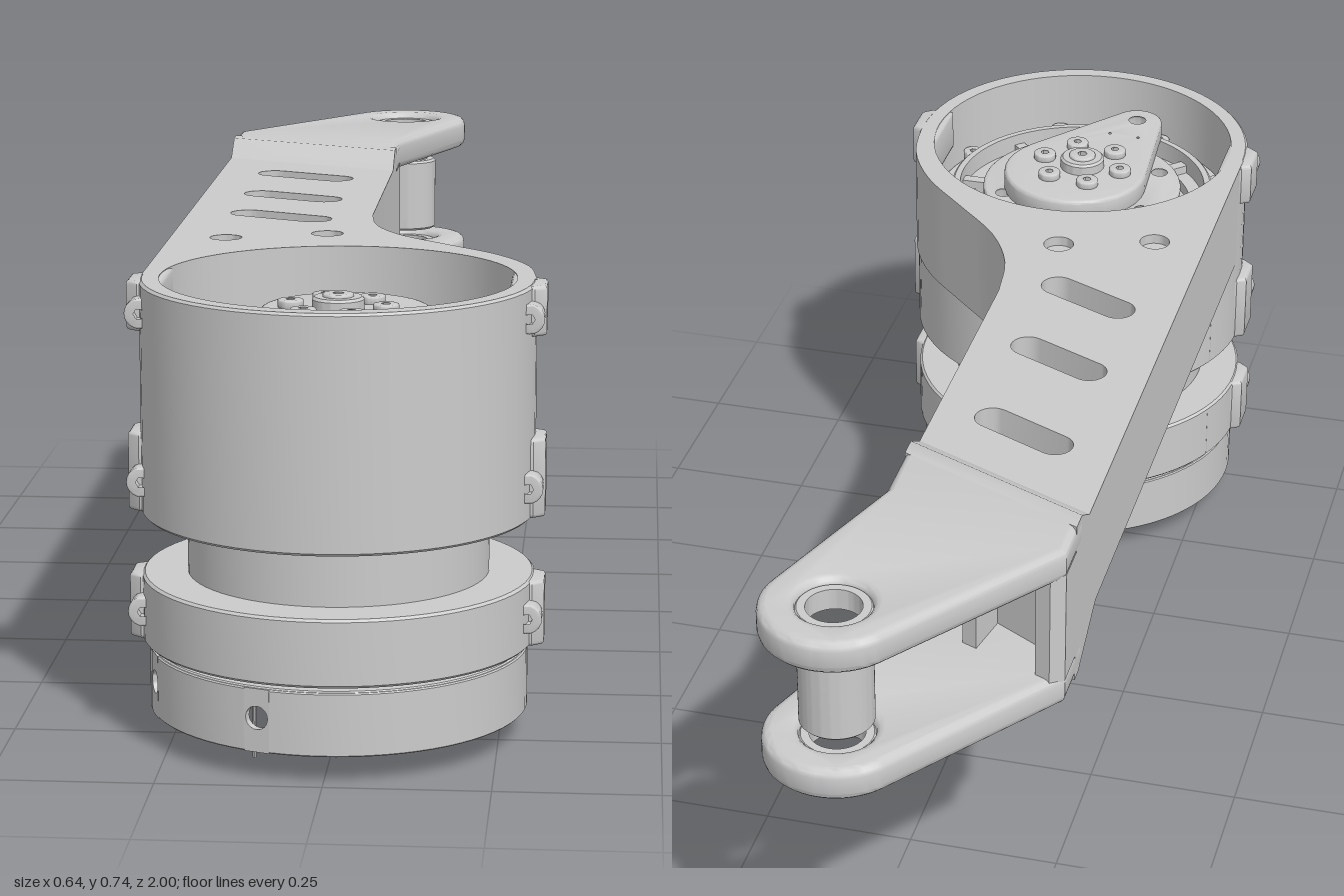
import * as THREE from 'three';
import { toCreasedNormals } from 'three/addons/utils/BufferGeometryUtils.js';

const MZ = 0.695;            // z of the motor axis
const SLANT = 0.45;          // slant of the arm features across its width
const D = Math.PI / 180;
const mat = new THREE.MeshStandardMaterial({ color: 0xcccccc, side: THREE.DoubleSide });

function add(parent, name, geo, x = 0, y = 0, z = 0) {
  const m = new THREE.Mesh(toCreasedNormals(geo, 35 * D), mat);
  m.name = name;
  m.position.set(x, y, z);
  parent.add(m);
  return m;
}

// Points of an arc in plan; a = 0 points to +x, 90 degrees to +z
function arc(cx, cz, r, a0 = 0, a1 = 360, n = 24) {
  return Array.from({ length: n + 1 }, (_, i) => {
    const a = (a0 + (a1 - a0) * i / n) * D;
    return [cx + r * Math.cos(a), cz + r * Math.sin(a)];
  });
}
const circle = (x, z, r, n = 24) => arc(x, z, r, 0, 360, n).slice(0, -1);

// Outline around two circles
function hull(ax, az, ra, bx, bz, rb) {
  const ang = Math.atan2(bz - az, bx - ax) / D;
  const off = Math.acos((ra - rb) / Math.hypot(bx - ax, bz - az)) / D;
  return [...arc(ax, az, ra, ang + off, ang + 360 - off, 20), ...arc(bx, bz, rb, ang - off, ang + off, 14)];
}

// Plan outline (x, z) raised from y0 to y1
function plan(pts, y0, y1, holes = [], bevel = 0) {
  const v = (p) => p.map(([x, z]) => new THREE.Vector2(x, -z));
  const s = new THREE.Shape(v(pts));
  s.holes = holes.map((h) => new THREE.Path(v(h)));
  const g = new THREE.ExtrudeGeometry(s, {
    depth: y1 - y0 - 2 * bevel, bevelEnabled: bevel > 0,
    bevelSize: bevel, bevelThickness: bevel, bevelOffset: -bevel, bevelSegments: 3, curveSegments: 8,
  });
  return g.rotateX(-Math.PI / 2).translate(0, y0 + bevel, 0);
}

// Turned ring with small chamfers; ri = 0 gives a disc
function ring(ri, ro, y0, y1, c = 0.004, start = 0, len = 360) {
  const p = [[ri, y0], [ro - c, y0], [ro, y0 + c], [ro, y1 - c], [ro - c, y1], [ri, y1]];
  if (ri > 0) p.push([ri, y0]);
  return new THREE.LatheGeometry(p.map(([x, y]) => new THREE.Vector2(x, y)), Math.ceil(len / 5), start * D, len * D);
}

// Socket head screw standing on y = 0
function screw(parent, r, h, x, y, z) {
  const g = new THREE.Group();
  g.name = 'screw';
  add(g, 'screwHead', plan(circle(0, 0, r, 20), 0, h, [circle(0, 0, r * 0.5, 6)], r * 0.12));
  add(g, 'screwSocketFloor', new THREE.CylinderGeometry(r * 0.7, r * 0.7, h * 0.3, 12), 0, h * 0.2, 0);
  g.position.set(x, y, z);
  parent.add(g);
  return g;
}

function polar(n, r, fn, a0 = 0) {
  for (let i = 0; i < n; i++) {
    const a = (a0 + 360 * i / n) * D;
    fn(r * Math.cos(a), r * Math.sin(a), a);
  }
}

function buildArm() {
  const arm = new THREE.Group();
  arm.name = 'arm';
  const lineA = (x) => -0.385 + SLANT * x;
  const lineB = (x) => -0.435 + SLANT * x;
  const L = -0.3, R = 0.01;

  // Beam with slots, flaring into the sleeve
  const flare = new THREE.CatmullRomCurve3([[R, 0.12], [0.025, 0.22], [0.07, 0.31], [0.155, 0.4], [0.235, 0.485],
    [0.285, 0.58], [0.302, MZ]].map(([x, z]) => new THREE.Vector3(x, 0, z))).getPoints(24).map((p) => [p.x, p.z]);
  const beam = [[L, MZ], [L, lineA(L)], [R, lineA(R)], ...flare, ...arc(0, MZ, 0.285, 0, -180, 36)];
  const slots = [-0.31, -0.075, 0.135].map((z) => hull(-0.2, z - 0.027, 0.03, -0.085, z + 0.027, 0.03));
  const pinHoles = [[-0.21, 0.355], [-0.05, 0.305]];
  add(arm, 'beam', plan(beam, 0.515, 0.71, [...slots, ...pinHoles.map(([x, z]) => circle(x, z, 0.026))]));
  for (const [x, z] of pinHoles) add(arm, 'dowel', new THREE.CylinderGeometry(0.026, 0.026, 0.16, 20), x, 0.613, z);

  // Slanted step where the beam thickens
  const prof = [[-0.33, 0.515], [-0.385, 0.71], [-0.435, 0.74], [-0.47, 0.74], [-0.47, 0.455], [-0.445, 0.455]];
  const step = new THREE.ExtrudeGeometry(new THREE.Shape(prof.map(([z, y]) => new THREE.Vector2(-z, y))),
    { depth: R - L, bevelEnabled: false });
  step.rotateY(Math.PI / 2).translate(L, 0, 0);
  const pos = step.attributes.position;
  for (let i = 0; i < pos.count; i++) pos.setZ(i, pos.getZ(i) + SLANT * pos.getX(i));
  add(arm, 'step', step);

  // Fork root with pockets between ribs
  const F = (x) => -0.573 + 0.42 * x;
  const root = [[L, lineB(L)], [R, lineB(R)], [R, F(R)]];
  for (const [a, b] of [[-0.02, -0.125], [-0.15, -0.255]]) {
    root.push([a, F(a)], [a - 0.015, F(a) + 0.075], [b + 0.015, F(b) + 0.075], [b, F(b)]);
  }
  root.push([-0.28, F(-0.28)], [L, -0.67]);
  add(arm, 'forkRoot', plan(root, 0.5, 0.695));

  // Fork plates, bushings and cross pin
  const tip = [0, -0.885];
  const fork = [[L, lineB(L)], [R, lineB(R)], [R, -0.57], ...arc(...tip, 0.115, 20, -144, 30), [L, -0.67]];
  for (const [y0, y1] of [[0.455, 0.51], [0.685, 0.74]]) {
    add(arm, 'forkPlate', plan(fork, y0, y1, [circle(...tip, 0.058, 32)], 0.014));
    add(arm, 'bushing', ring(0.043, 0.06, y0 + 0.01, y1 - 0.01), 0, 0, tip[1]);
  }
  add(arm, 'crossPin', ring(0.042, 0.058, 0.525, 0.66), 0, 0, tip[1]);
  return arm;
}

function buildMotor() {
  const motor = new THREE.Group();
  motor.name = 'motor';
  motor.position.z = MZ;

  // Sleeve, body and clamp ring
  add(motor, 'sleeve', ring(0.272, 0.302, 0.35, 0.71));
  add(motor, 'body', ring(0, 0.232, 0.12, 0.57));
  add(motor, 'clampRing', ring(0.228, 0.302, 0.15, 0.255));
  add(motor, 'basePlate', ring(0, 0.24, 0.138, 0.155));

  // Clamp lugs with screws, mirrored
  for (const s of [-1, 1]) {
    const lug = [[0.262, -0.12], [0.275, -0.125], [0.302, -0.025], [0.318, -0.015], [0.318, 0.045], [0.3, 0.06], [0.262, 0.06]]
      .map(([x, z]) => [s * x, z]);
    for (const [y0, y1, ys] of [[0.632, 0.709, 0.665], [0.352, 0.475, 0.405], [0.151, 0.253, 0.202]]) {
      add(motor, 'clampLug', plan(lug, y0, y1, [], 0.006));
      screw(motor, 0.023, 0.04, s * 0.293, ys, 0.05).rotation.x = Math.PI / 2;
    }
  }

  // Open bottom cup with two wall holes
  add(motor, 'cupTop', ring(0, 0.29, 0.12, 0.142));
  add(motor, 'cupWall', ring(0.28, 0.292, 0.042, 0.14, 0.002, -16, 302));
  add(motor, 'cupWall', ring(0.28, 0.292, 0.042, 0.14, 0.002, -66, 42));
  for (const a of [-20, -70]) {
    const w = 0.292 * Math.sin(4 * D);
    const panel = new THREE.Shape([[-w, -0.053], [w, -0.053], [w, 0.045], [-w, 0.045]].map((p) => new THREE.Vector2(...p)));
    panel.holes.push(new THREE.Path().absarc(0, 0, 0.018, 0, Math.PI * 2, true));
    const g = new THREE.ExtrudeGeometry(panel, { depth: 0.012, bevelEnabled: false });
    add(motor, 'cupWindow', g.translate(0, 0.095, 0.2795).rotateY(a * D));
  }
  const hubHoles = [circle(0, 0, 0.045)];
  polar(6, 0.077, (x, z) => hubHoles.push(circle(x, z, 0.014, 14)));
  add(motor, 'hub', plan(circle(0, 0, 0.108, 40), 0.045, 0.13, hubHoles));
  for (const a of [0, 180]) {
    add(motor, 'hubTooth', plan([...arc(0, 0, 0.108, a - 45, a + 45), ...arc(0, 0, 0.06, a + 45, a - 45)], 0.024, 0.046));
  }
  add(motor, 'wire', new THREE.CylinderGeometry(0.003, 0.003, 0.13, 8), -0.114, 0.065, 0.17);

  // Flange and rotor inside the sleeve
  add(motor, 'flange', ring(0.2, 0.274, 0.54, 0.59));
  add(motor, 'innerRim', ring(0.225, 0.24, 0.58, 0.625));
  polar(8, 0.252, (x, z) => screw(motor, 0.018, 0.025, x, 0.588, z), 22.5);
  polar(8, 0.208, (x, z, a) => {
    add(motor, 'spoke', new THREE.BoxGeometry(0.06, 0.04, 0.02), x, 0.585, z).rotation.y = -a;
  });
  const rotorHoles = [];
  polar(6, 0.15, (x, z) => rotorHoles.push(circle(x, z, 0.02, 16)), 30);
  add(motor, 'rotor', plan(circle(0, 0, 0.182, 48), 0.56, 0.625, rotorHoles, 0.005));

  // Output lever
  add(motor, 'lever', plan(hull(0.01, -0.015, 0.13, -0.058, 0.205, 0.046), 0.62, 0.66,
    [circle(-0.058, 0.205, 0.022), circle(-0.075, 0.135, 0.009, 12), circle(-0.02, 0.14, 0.009, 12)], 0.006));
  polar(6, 0.075, (x, z) => screw(motor, 0.02, 0.014, x, 0.658, z), 10);
  add(motor, 'shaftCollar', ring(0.02, 0.04, 0.65, 0.68));
  screw(motor, 0.024, 0.03, 0, 0.655, 0);
  return motor;
}

export function createModel() {
  const model = new THREE.Group();
  model.name = 'motorArm';
  model.add(buildArm(), buildMotor());
  return model;
}
